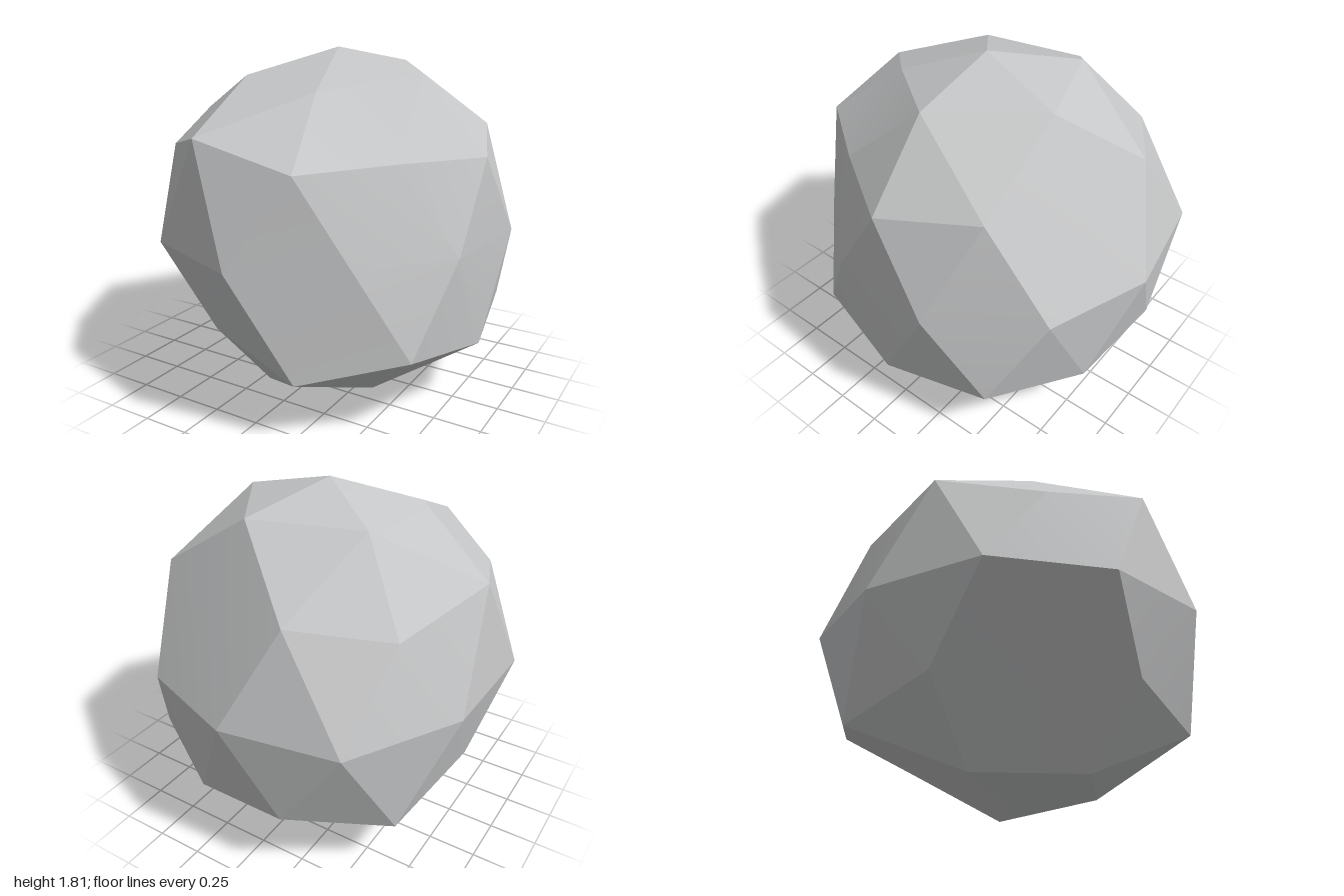
import * as THREE from 'three';
import { toCreasedNormals } from 'three/addons/utils/BufferGeometryUtils.js';

// Rings of a once-divided icosahedron: unit height, first azimuth in degrees, and the radius of each point
const rings = {
  top: [1, 0, [0.931]],
  crown: [0.8507, 0, [0.96, 0.88, 0.93, 0.967, 0.983]],
  shoulderMid: [0.5257, 36, [0.85, 1.06, 1.07, 0.955, 0.985]],
  shoulder: [0.4472, 0, [0.97, 0.985, 0.985, 0.985, 0.84]],
  waist: [0, 18, [0.905, 0.86, 1.005, 0.99, 1.037, 1.02, 1.075, 0.974, 0.97, 0.97]],
  hip: [-0.4472, 36, [1.027, 0.91, 0.98, 1.05, 1.07]],
  hipMid: [-0.5257, 0, [1.035, 1.05, 0.79, 1.095, 1.03]],
  foot: [-0.8507, 36, [0.935, 0.94, 0.955, 0.825, 1.0]],
  bottom: [-1, 0, [0.882]],
};
const CENTER = new THREE.Vector3(0.03, 0.882, -0.016);
const STRETCH = new THREE.Vector3(0.958, 1, 1.01);

// Point i of a ring, relative to the centre
function point(name, i) {
  const [height, start, radii] = rings[name];
  const n = radii.length;
  const k = ((i % n) + n) % n;
  const angle = THREE.MathUtils.degToRad(start + (360 / n) * k);
  const across = Math.sqrt(1 - height * height);
  return new THREE.Vector3(across * Math.cos(angle), height, across * Math.sin(angle))
    .multiplyScalar(radii[k]).multiply(STRETCH);
}

function rockGeometry() {
  const positions = [];
  // Adds one facet, turned to face outward
  const facet = (a, b, c) => {
    const normal = b.clone().sub(a).cross(c.clone().sub(a));
    const outward = normal.dot(a.clone().add(b).add(c)) > 0;
    for (const p of outward ? [a, b, c] : [a, c, b]) positions.push(...p.clone().add(CENTER).toArray());
  };
  const top = point('top', 0), bottom = point('bottom', 0);

  // Five identical wedges around the vertical axis
  for (let i = 0; i < 5; i++) {
    const T = point('crown', i), T2 = point('crown', i + 1);
    const U = point('shoulder', i), U2 = point('shoulder', i + 1), M = point('shoulderMid', i);
    const V0 = point('waist', 2 * i - 1), V = point('waist', 2 * i), V2 = point('waist', 2 * i + 1);
    const L0 = point('hip', i - 1), L = point('hip', i);
    const H = point('hipMid', i), H2 = point('hipMid', i + 1);
    const B = point('foot', i), B2 = point('foot', i + 1);
    // cap
    facet(top, T, T2); facet(T, U, M); facet(T, M, T2); facet(T2, M, U2);
    // downward pointing side panel
    facet(U, V, M); facet(M, V, V2); facet(U2, M, V2); facet(L, V2, V);
    // upward pointing side panel
    facet(U, V0, V); facet(V0, H, V); facet(V, H, L); facet(V0, L0, H);
    // underside
    facet(L, H, B); facet(L, B, H2); facet(H2, B, B2); facet(bottom, B2, B);
  }
  const geometry = new THREE.BufferGeometry();
  geometry.setAttribute('position', new THREE.Float32BufferAttribute(positions, 3));
  // Only nearly level neighbours blend; all other edges stay sharp
  return toCreasedNormals(geometry, THREE.MathUtils.degToRad(10));
}

export function createModel() {
  const group = new THREE.Group();
  group.name = 'boulder';
  const stone = new THREE.MeshStandardMaterial({ color: 0xc6c7c8 });
  stone.name = 'pale grey stone';
  const rock = new THREE.Mesh(rockGeometry(), stone);
  rock.name = 'rock';
  group.add(rock);
  return group;
}
